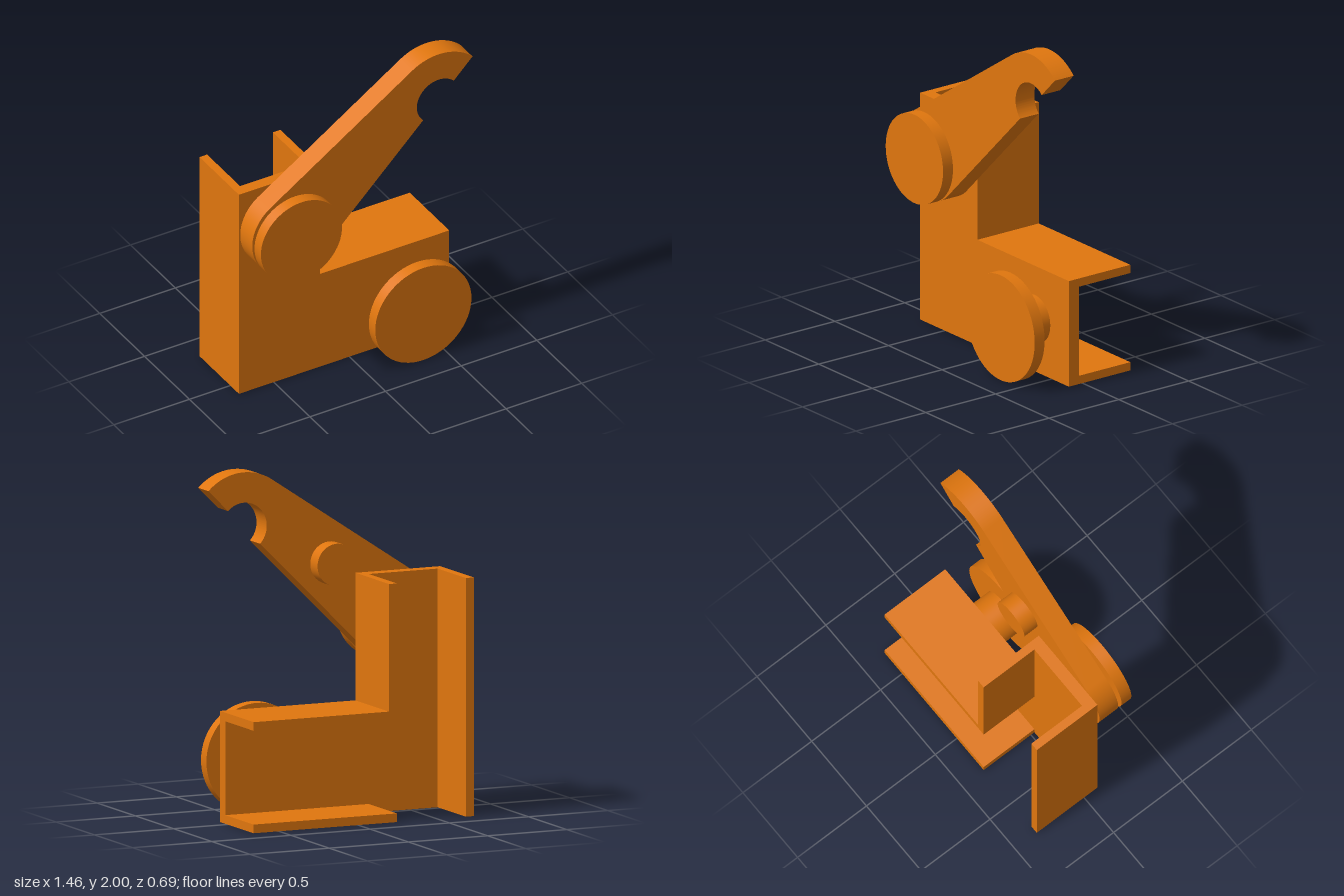
import * as THREE from 'three';
import { toCreasedNormals } from 'three/addons/utils/BufferGeometryUtils.js';

const material = new THREE.MeshStandardMaterial({ color: 0xe0760e });

// Extrude a front-facing shape between two z positions
function slab(name, shape, z0, z1) {
  const geo = new THREE.ExtrudeGeometry(shape, { depth: z1 - z0, bevelEnabled: false, curveSegments: 40 });
  geo.translate(0, 0, z0);
  const mesh = new THREE.Mesh(toCreasedNormals(geo, Math.PI / 6), material);
  mesh.name = name;
  return mesh;
}

const polygon = (...pts) => new THREE.Shape(pts.map(([x, y]) => new THREE.Vector2(x, y)));
const rect = (x0, y0, x1, y1) => polygon([x0, y0], [x1, y0], [x1, y1], [x0, y1]);

// Round pin with its axis along z
function disc(name, [x, y], r, z0, z1) {
  const geo = new THREE.CylinderGeometry(r, r, z1 - z0, 64);
  geo.rotateX(Math.PI / 2);
  const mesh = new THREE.Mesh(geo, material);
  mesh.name = name;
  mesh.position.set(x, y, (z0 + z1) / 2);
  return mesh;
}

export function createModel() {
  const model = new THREE.Group();
  model.name = 'latchBracket';

  const left = -0.73, right = 0.66, top = 1.375, step = 0.64, post = -0.195, wall = 0.05;
  const back = -0.343, plateBack = 0.025, plateFront = 0.097;
  const armBack = 0.113, armFront = 0.247, capBack = 0.272, capFront = 0.343;
  const pivot = [-0.463, 1.107], pivotR = 0.268;
  const hook = [0.5, 1.683], hookR = 0.318, notchR = 0.143;
  const knob = [0.343, 0.32];

  // L-shaped bracket with flanges running backwards
  const bracket = new THREE.Group();
  bracket.name = 'bracket';
  bracket.add(
    slab('frontPlate', polygon([left, 0], [right, 0], [right, step], [post, step], [post, top], [left, top]), plateBack, plateFront),
    slab('outerFlange', rect(left, 0, left + wall, top), back, plateBack),
    slab('innerFlange', polygon([post - wall, step - wall], [right, step - wall], [right, step],
      [post, step], [post, top], [post - wall, top]), back, plateBack),
    slab('bottomFlange', rect(post - wall, 0, right, wall), back, plateBack),
  );
  model.add(bracket);

  // Lever arm: round pivot end, tangent sides, open hook at the tip
  const dx = hook[0] - pivot[0], dy = hook[1] - pivot[1];
  const tangent = Math.atan2(dy, dx) + Math.acos((pivotR - hookR) / Math.hypot(dx, dy));
  const q = Math.PI / 4;
  const outline = new THREE.Shape();
  outline.absarc(...pivot, pivotR, tangent, 7 * q, false);
  outline.absarc(...hook, notchR, 5 * q, q, true);
  outline.absarc(...hook, hookR, q, tangent, false);
  outline.closePath();
  const lever = new THREE.Group();
  lever.name = 'lever';
  lever.add(slab('leverArm', outline, armBack, armFront));
  lever.add(disc('leverPeg', [-0.04, 1.443], 0.122, 0.018, armBack));
  model.add(lever);

  // Shafts and round caps
  model.add(
    disc('pivotShaft', pivot, 0.145, plateFront, capBack),
    disc('pivotCap', pivot, pivotR, capBack, capFront),
    disc('lowerShaft', knob, 0.143, plateFront, capBack),
    disc('lowerCap', knob, 0.318, capBack, capFront),
  );
  return model;
}
